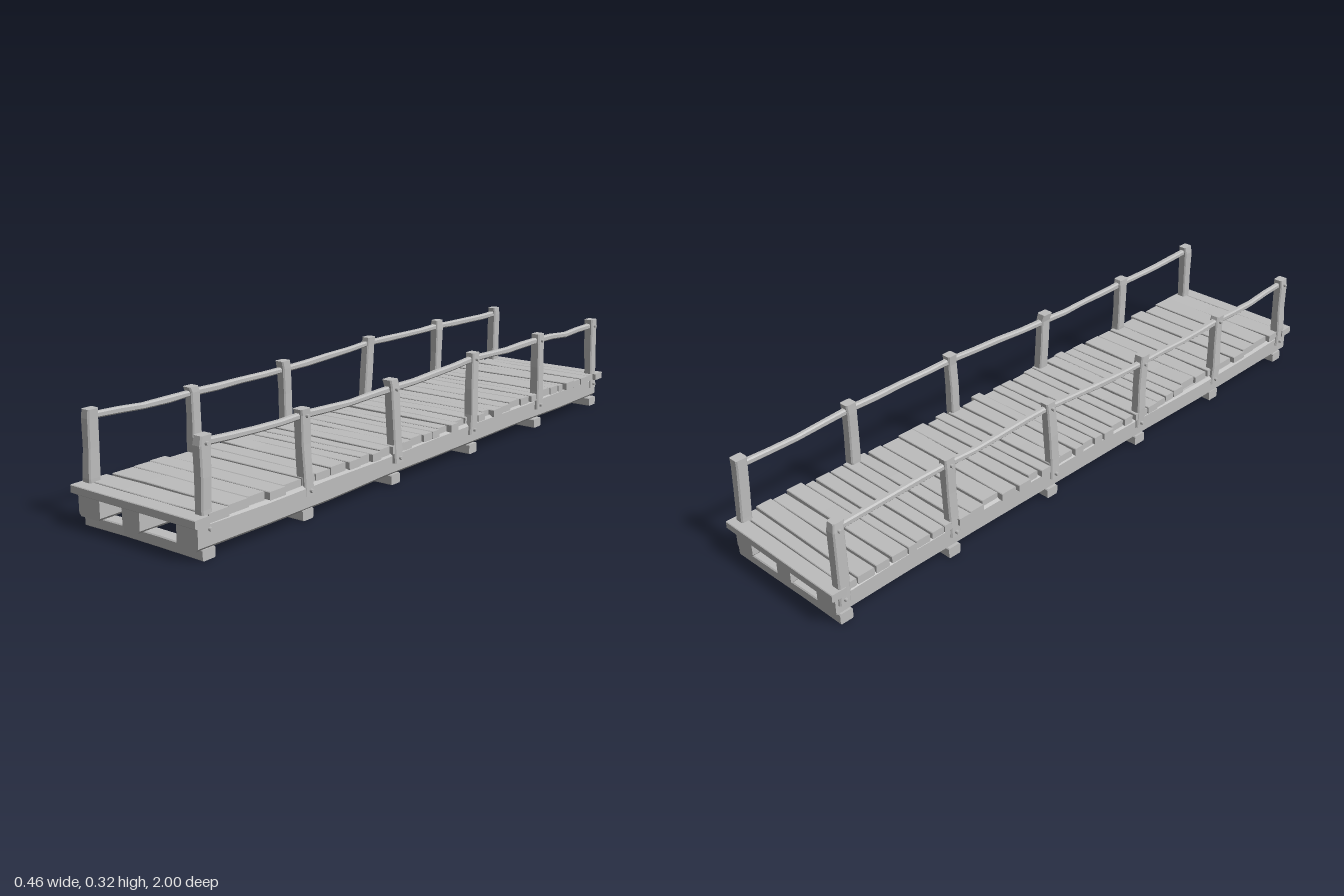
import * as THREE from 'three';

const wood = new THREE.MeshStandardMaterial({ color: 0xbdbdbd });
wood.name = 'grey wood';

// small seeded jitter in the range -a..a
let seed = 7;
function jit(a) {
  seed = (seed * 16807) % 2147483647;
  return (seed / 2147483647 * 2 - 1) * a;
}

// Rough timber: a chamfered rectangle swept through points along one axis.
// sizes are [x, y, z]; the one along the axis is ignored.
function timber(name, axis, points, size, bevel, wobble) {
  const u = (axis + 1) % 3, v = (axis + 2) % 3;
  const rings = points.map((p) => {
    const a = size[u] / 2 + jit(wobble), b = size[v] / 2 + jit(wobble), c = bevel;
    const outline = [[a, -b + c], [a, b - c], [a - c, b], [-a + c, b],
      [-a, b - c], [-a, -b + c], [-a + c, -b], [a - c, -b]];
    return outline.map(([s, t]) => {
      const q = [...p];
      q[u] += s;
      q[v] += t;
      return q;
    });
  });
  const pos = [];
  const tri = (...c) => c.forEach((q) => pos.push(...q));
  for (let r = 0; r < rings.length - 1; r++) {
    for (let i = 0; i < 8; i++) {
      const j = (i + 1) % 8, A = rings[r], B = rings[r + 1];
      tri(A[i], A[j], B[j]);
      tri(A[i], B[j], B[i]);
    }
  }
  const first = rings[0], last = rings[rings.length - 1];
  for (let i = 1; i < 7; i++) {
    tri(first[0], first[i + 1], first[i]);
    tri(last[0], last[i], last[i + 1]);
  }
  const geo = new THREE.BufferGeometry();
  geo.setAttribute('position', new THREE.Float32BufferAttribute(pos, 3));
  geo.computeVertexNormals();
  const mesh = new THREE.Mesh(geo, wood);
  mesh.name = name;
  return mesh;
}

export function createModel() {
  seed = 7;
  const bridge = new THREE.Group();
  bridge.name = 'woodenBridge';

  // Stations of the posts and cross beams, front to back
  const stations = [0.945, 0.585, 0.205, -0.19, -0.58, -0.955];

  // Cross beams on the ground
  stations.forEach((z) => {
    const pts = [-0.214, -0.07, 0.07, 0.214].map((x) => [x, 0.019 + jit(0.001), z + jit(0.003)]);
    bridge.add(timber('crossBeam', 0, pts, [0, 0.03, 0.042], 0.003, 0.001));
  });

  // Three long bearers under the deck
  [[-0.175, -0.178, 0.078], [-0.018, 0, 0.06], [0.181, 0.174, 0.07]].forEach(([x0, x1, w]) => {
    const pts = [];
    for (let i = 0; i <= 8; i++) {
      const t = i / 8, z = -0.985 + 1.97 * t;
      pts.push([x1 + (x0 - x1) * t + (i % 8 ? jit(0.003) : 0), 0.067 + 0.003 * Math.sin(t * Math.PI * 2), z]);
    }
    bridge.add(timber('bearer', 2, pts, [w, 0.066, 0], 0.008, 0.002));
  });

  // Deck planks, given by the seams between them
  const seams = [-1, -0.953, -0.91, -0.852, -0.803, -0.745, -0.713, -0.662, -0.615, -0.57,
    -0.525, -0.47, -0.405, -0.347, -0.294, -0.252, -0.21, -0.155, -0.1, -0.06, -0.013, 0.025,
    0.072, 0.13, 0.172, 0.23, 0.28, 0.323, 0.365, 0.417, 0.486, 0.546, 0.602, 0.676, 0.74,
    0.804, 0.88, 0.952, 1];
  seams.slice(1).forEach((z1, i) => {
    const z0 = seams[i], end = i === 0 || i === seams.length - 2;
    const half = end ? 0.226 : 0.215 + jit(0.009), shift = end ? 0 : jit(0.004);
    const mid = (z0 + z1) / 2, skew = end ? 0 : jit(0.003), y = 0.109 + jit(0.002);
    const pts = [-1, -0.4, 0.3, 1].map((s) => [shift + s * half, y + jit(0.0008), mid + s * skew]);
    bridge.add(timber('plank', 0, pts, [0, 0.023, z1 - z0 - (end ? 0 : 0.005)], 0.002, end ? 0 : 0.001));
  });

  // Posts, pegs and handrails on both sides
  const tops = [0.312, 0.304, 0.311, 0.32, 0.319, 0.313];
  const railHeights = [0.293, 0.285, 0.283, 0.3, 0.297, 0.29];
  const lean = [-0.004, 0.012, 0.012, -0.014, -0.01, 0.008];
  [-1, 1].forEach((side) => {
    const joints = [];
    stations.forEach((z, i) => {
      const x = side * 0.201 + jit(0.003), outward = side * (0.004 + jit(0.004));
      const pts = [0.068, 0.13, 0.21, 0.288, tops[i]].map((y, k) => {
        const t = k / 4;
        return [x + outward * (1 - t) + jit(0.001), y, z - lean[i] / 2 + lean[i] * t + jit(0.002)];
      });
      bridge.add(timber('post', 1, pts, [0.031, 0, 0.036], 0.004, 0.0012));
      joints.push([x, railHeights[i], pts[3][2]]);

      // Pegs holding the rail and the foot of the post
      [[railHeights[i], pts[3]], [0.082, pts[0]]].forEach(([y, p]) => {
        const peg = new THREE.Mesh(new THREE.CylinderGeometry(0.005, 0.006, 0.01, 6), wood);
        peg.name = 'peg';
        peg.rotation.z = -side * Math.PI / 2;
        peg.position.set(p[0] + side * 0.018, y, p[2]);
        bridge.add(peg);
      });
    });

    // One slightly crooked rail in each bay, sweeping towards +z
    for (let i = 0; i < joints.length - 1; i++) {
      const a = joints[i + 1], b = joints[i];
      const pts = [0, 0.25, 0.5, 0.75, 1].map((t) => {
        const sag = Math.sin(Math.PI * t), mix = a.map((c, k) => c + (b[k] - c) * t);
        return [mix[0] + sag * jit(0.004), mix[1] - sag * 0.004 + sag * jit(0.003), mix[2]];
      });
      bridge.add(timber('handrail', 2, pts, [0.018, 0.018, 0], 0.004, 0.001));
    }
  });

  return bridge;
}
